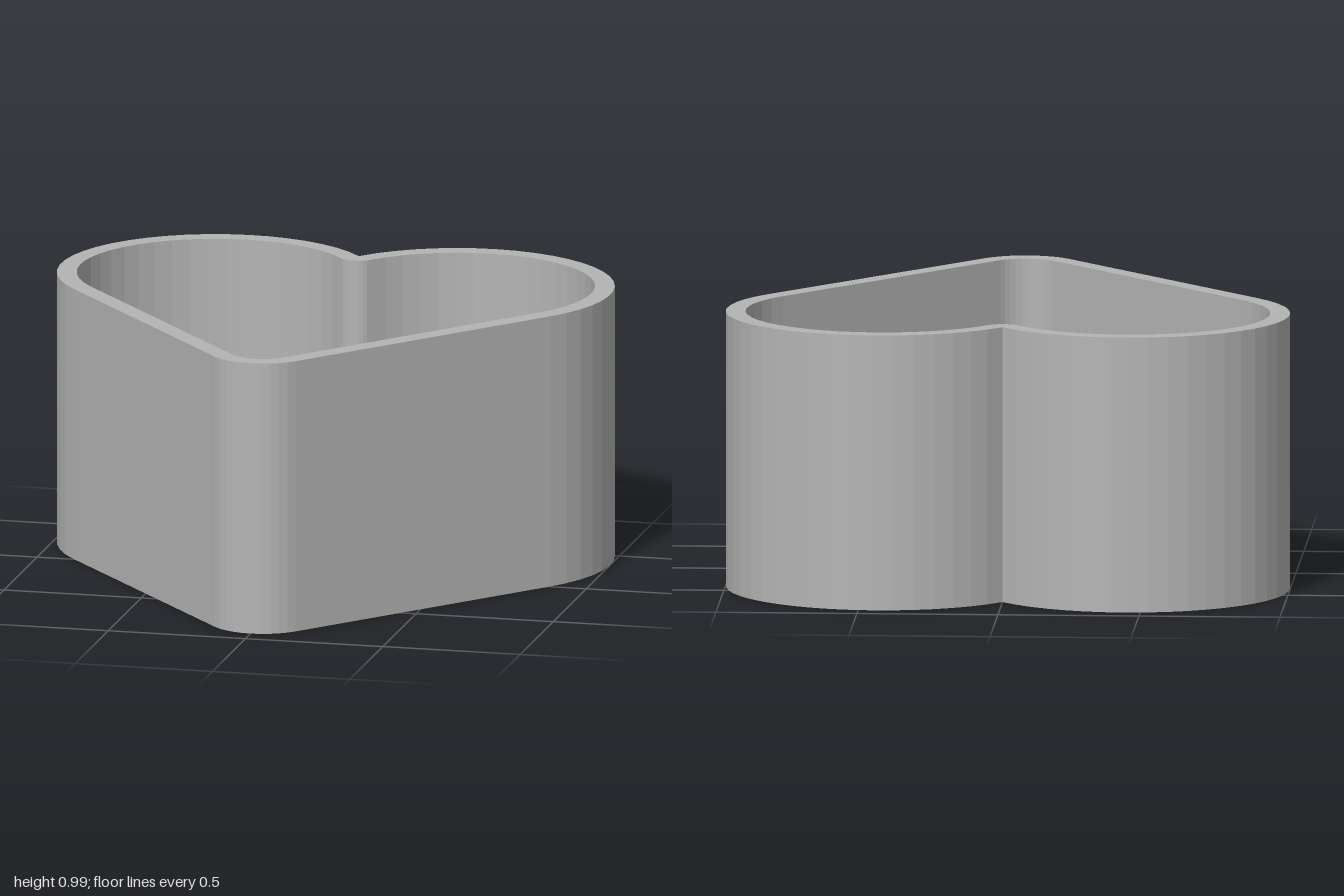
import * as THREE from 'three';

const LOBE = { x: 0.44, y: 0.365, r: 0.56 };   // upper lobes
const TIP = { y: 0.731, r: 0.192 };            // rounded point (below the centre)
const SIDE = 0.701;                            // angle of the straight flanks' normal
const NOTCH = { y: 0.711, a: 0.666 };          // cleft between the lobes
const WALL = 0.07, FLOOR = 0.06, HEIGHT = 0.985;

function arc(cx, cy, r, from, to, n) {
  return Array.from({ length: n + 1 }, (_, i) => {
    const a = from + (to - from) * i / n;
    return new THREE.Vector2(cx + r * Math.cos(a), cy + r * Math.sin(a));
  });
}

// Heart outline moved inwards by a constant distance
function heart(inset) {
  const right = arc(LOBE.x, LOBE.y, LOBE.r - inset, -SIDE, Math.PI - NOTCH.a, 24);
  const cleft = inset > 0
    ? arc(0, NOTCH.y, inset, -NOTCH.a, -Math.PI + NOTCH.a, 8).slice(1, -1)
    : [new THREE.Vector2(0, NOTCH.y)];
  if (inset === 0) right.pop();
  const left = right.map(p => new THREE.Vector2(-p.x, p.y)).reverse();
  const tip = arc(0, -TIP.y, TIP.r - inset, Math.PI + SIDE, 2 * Math.PI - SIDE, 10);
  return [...tip, ...right, ...cleft, ...left];
}

const circle = r => arc(0, 0, r, 0, Math.PI * 2, 48).slice(0, -1);

// Upright slab with one opening, from height y0 to y1
function slab(name, outer, hole, y0, y1, material) {
  const shape = new THREE.Shape(outer);
  shape.holes.push(new THREE.Path(hole));
  const geometry = new THREE.ExtrudeGeometry(shape, { depth: y1 - y0, bevelEnabled: false });
  geometry.rotateX(-Math.PI / 2).translate(0, y0, 0);
  const mesh = new THREE.Mesh(geometry, material);
  mesh.name = name;
  return mesh;
}

export function createModel() {
  const grey = new THREE.MeshStandardMaterial({ color: 0xb4b4b4 });
  grey.name = 'grey';
  const model = new THREE.Group();
  model.name = 'heartBox';
  model.add(
    // Floor with the wide recess in its underside
    slab('floor', heart(0), circle(0.19), 0, FLOOR, grey),
    slab('wall', heart(0), heart(WALL), FLOOR, HEIGHT, grey),
    // Raised collar whose narrower bore leaves a ledge above the recess
    slab('collar', circle(0.255), circle(0.158), FLOOR, 0.2, grey),
  );
  return model;
}
